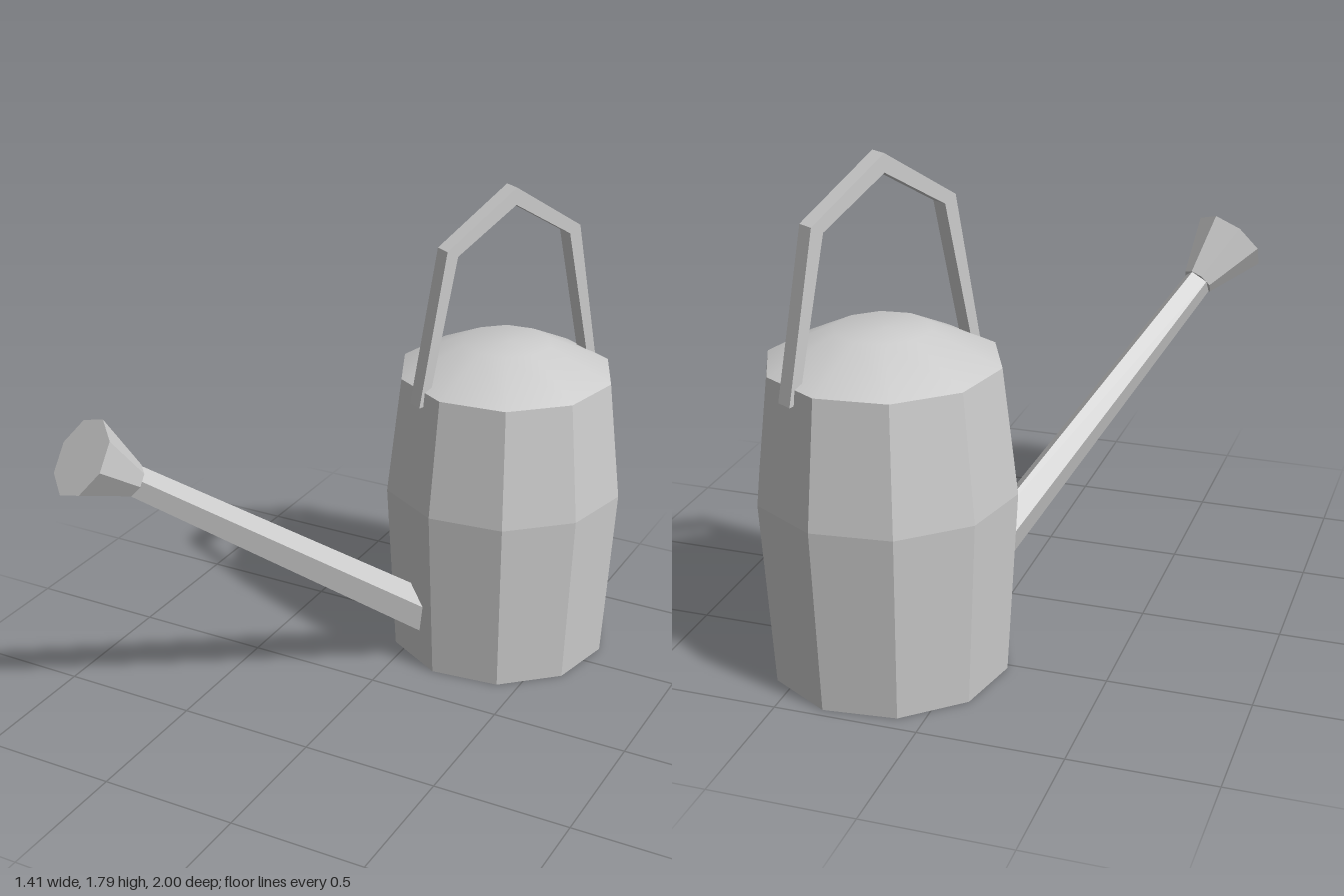
import * as THREE from 'three';

const deg = Math.PI / 180;

// Split faces apart so every facet is shaded flat
function faceted(geometry) {
  const flat = geometry.index ? geometry.toNonIndexed() : geometry;
  flat.computeVertexNormals();
  return flat;
}

const profile = (pairs) => pairs.map(([x, y]) => new THREE.Vector2(x, y));

export function createModel() {
  const grey = new THREE.MeshStandardMaterial({ color: 0xcccccc });
  grey.name = 'light grey metal';

  // Local +z points along the spout
  const can = new THREE.Group();
  can.name = 'wateringCan';
  can.position.set(0.256, 0, -0.564);
  can.rotation.y = -30 * deg;

  function add(name, geometry, parent = can) {
    const mesh = new THREE.Mesh(geometry, grey);
    mesh.name = name;
    parent.add(mesh);
    return mesh;
  }

  // Ten-sided barrel with a flat side towards the spout
  add('body', faceted(new THREE.LatheGeometry(
    profile([[0, 0], [0.412, 0], [0.449, 0.66], [0.397, 1.1]]), 10, 18 * deg)));

  // Low smooth lid
  add('lid', new THREE.LatheGeometry(
    profile([[0.397, 1.1], [0.165, 1.21], [0, 1.212]]), 10, 18 * deg));

  // Bent strap handle in the plane of the spout
  const outer = [[0.4, 1.045], [0.29, 1.61], [0, 1.795], [-0.29, 1.61], [-0.4, 1.045]];
  const inner = [[-0.362, 1.05], [-0.245, 1.585], [0, 1.732], [0.245, 1.585], [0.362, 1.05]];
  const strap = new THREE.ExtrudeGeometry(
    new THREE.Shape(profile([...outer, ...inner])), { depth: 0.06, bevelEnabled: false });
  strap.translate(0, 0, -0.03);
  strap.rotateY(-Math.PI / 2);
  add('handle', faceted(strap));

  // Spout and sprinkler head share one tilted axis along local +z
  const spoutAxis = new THREE.Group();
  spoutAxis.name = 'spoutAssembly';
  spoutAxis.position.set(0, 0.225, 0.405);
  spoutAxis.rotation.x = -36.2 * deg;
  can.add(spoutAxis);

  function taper(name, startRadius, endRadius, start, end, sides) {
    const g = new THREE.CylinderGeometry(endRadius, startRadius, end - start, sides, 1, false, Math.PI);
    g.rotateX(Math.PI / 2);
    g.translate(0, 0, (start + end) / 2);
    add(name, faceted(g), spoutAxis);
  }
  taper('spout', 0.082, 0.055, -0.12, 1.42, 5);
  taper('sprinklerHead', 0.06, 0.141, 1.37, 1.584, 8);

  const model = new THREE.Group();
  model.name = 'model';
  model.add(can);
  return model;
}
